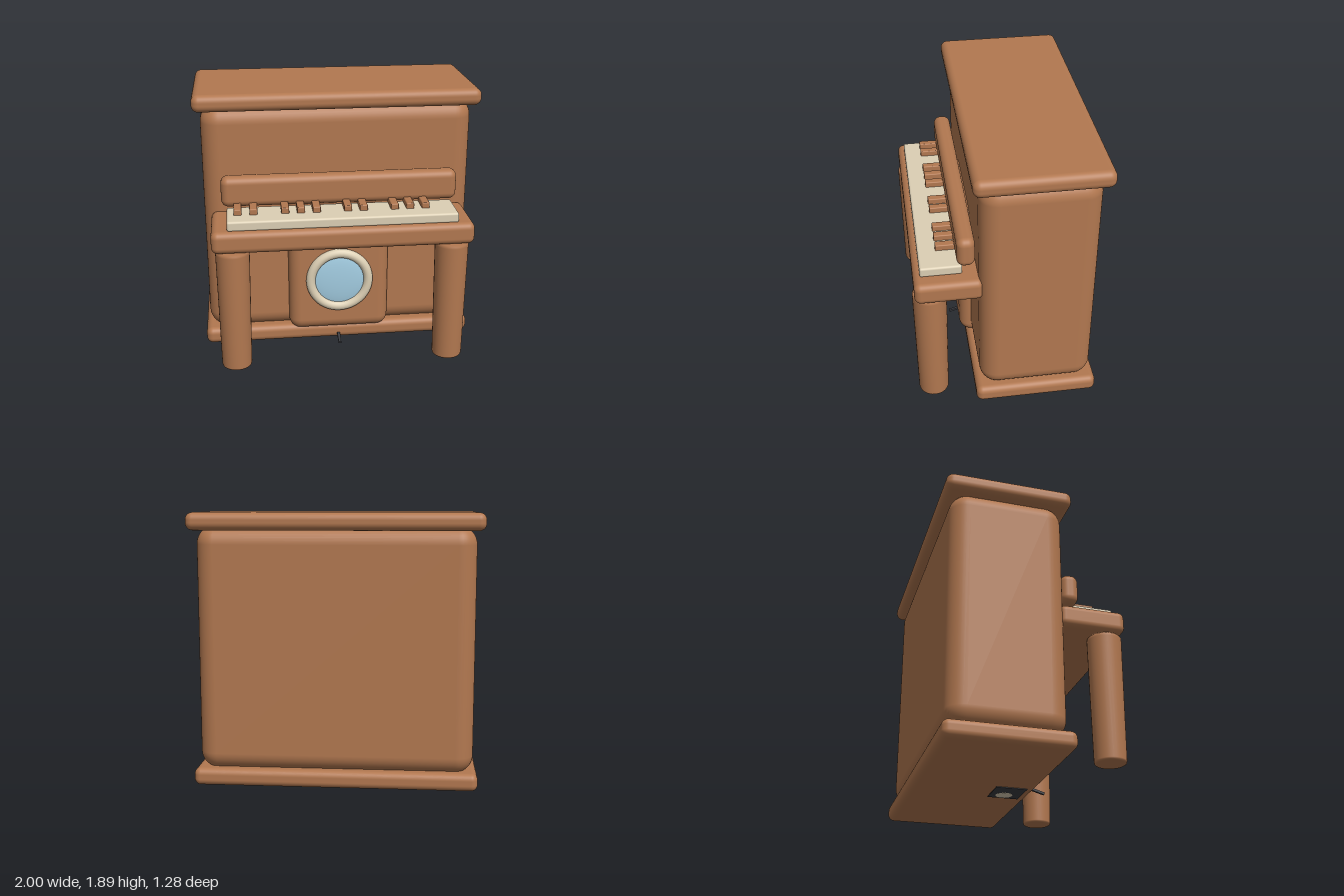
import * as THREE from 'three';
import { RoundedBoxGeometry } from 'three/addons/geometries/RoundedBoxGeometry.js';

const material = (name, color) => {
  const m = new THREE.MeshStandardMaterial({ color });
  m.name = name;
  return m;
};

export function createModel() {
  const wood = material('warm wood', 0xb27850);
  const cream = material('cream', 0xdccfb4);
  const glass = material('pale blue glass', 0xa3cde2);
  const iron = material('dark iron', 0x3a3b40);

  const piano = new THREE.Group();
  piano.name = 'uprightPiano';

  const add = (name, geometry, mat, x = 0, y = 0, z = 0) => {
    const mesh = new THREE.Mesh(geometry, mat);
    mesh.name = name;
    mesh.position.set(x, y, z);
    piano.add(mesh);
    return mesh;
  };

  // Rounded box given by its limits on each axis
  const block = (name, mat, [x0, x1], [y0, y1], [z0, z1], r) =>
    add(name, new RoundedBoxGeometry(x1 - x0, y1 - y0, z1 - z0, 5, r), mat,
      (x0 + x1) / 2, (y0 + y1) / 2, (z0 + z1) / 2);

  // Case
  block('base', wood, [-0.98, 0.98], [0.005, 0.127], [-0.62, 0.235], 0.045);
  block('body', wood, [-0.95, 0.95], [0.105, 1.8], [-0.59, 0.2], 0.125);
  block('lid', wood, [-1, 1], [1.77, 1.89], [-0.637, 0.247], 0.05);
  block('frontPanel', wood, [-0.365, 0.365], [0.105, 1.235], [0.08, 0.282], 0.085);

  // Keyboard
  block('keyBed', wood, [-0.9, 0.9], [0.895, 1.05], [0.17, 0.628], 0.045);
  block('fallboard', wood, [-0.825, 0.825], [1.12, 1.335], [0.215, 0.337], 0.05);
  block('whiteKeys', cream, [-0.79, 0.79], [1.045, 1.115], [0.3, 0.583], 0.015);
  for (const slot of [0, 1, 3, 4, 5, 7, 8, 10, 11, 12]) {
    const x = -0.715 + slot * 0.108;
    block('sharpKey', wood, [x - 0.027, x + 0.027], [1.1, 1.155], [0.3, 0.462], 0.008);
  }

  // Tapered round legs with softened rims
  const legProfile = [[0, 0.005], [0.095, 0.005], [0.103, 0.01], [0.106, 0.02],
    [0.117, 0.87], [0.116, 0.885], [0.108, 0.896], [0, 0.896]]
    .map(([x, y]) => new THREE.Vector2(x, y));
  const legGeometry = new THREE.LatheGeometry(legProfile, 32);
  for (const side of [-1, 1]) {
    add(side < 0 ? 'rightLeg' : 'leftLeg', legGeometry, wood, side * 0.76, 0, 0.523);
  }

  // Round windows with cream rims
  const porthole = (name, y, radius, tube) => {
    add(name + 'Rim', new THREE.TorusGeometry(radius, tube, 16, 48), cream, 0, y, 0.29);
    const pane = add(name + 'Glass', new THREE.SphereGeometry(radius, 40, 20), glass, 0, y, 0.28);
    pane.scale.z = 0.03 / radius;
  };
  porthole('lowerWindow', 0.515, 0.209, 0.034);
  porthole('upperWindow', 0.935, 0.124, 0.033);

  // Pedal and the small fittings under the base
  const pedal = add('pedal', new THREE.BoxGeometry(0.02, 0.016, 0.2), iron, 0, 0.045, 0.235);
  pedal.rotation.x = 0.28;
  add('pedalPlate', new THREE.BoxGeometry(0.24, 0.008, 0.22), iron, 0, 0.004, 0.06);
  add('pedalPlateCap', new THREE.CylinderGeometry(0.06, 0.06, 0.008, 24), cream, 0.05, 0.0035, 0.05);

  return piano;
}
